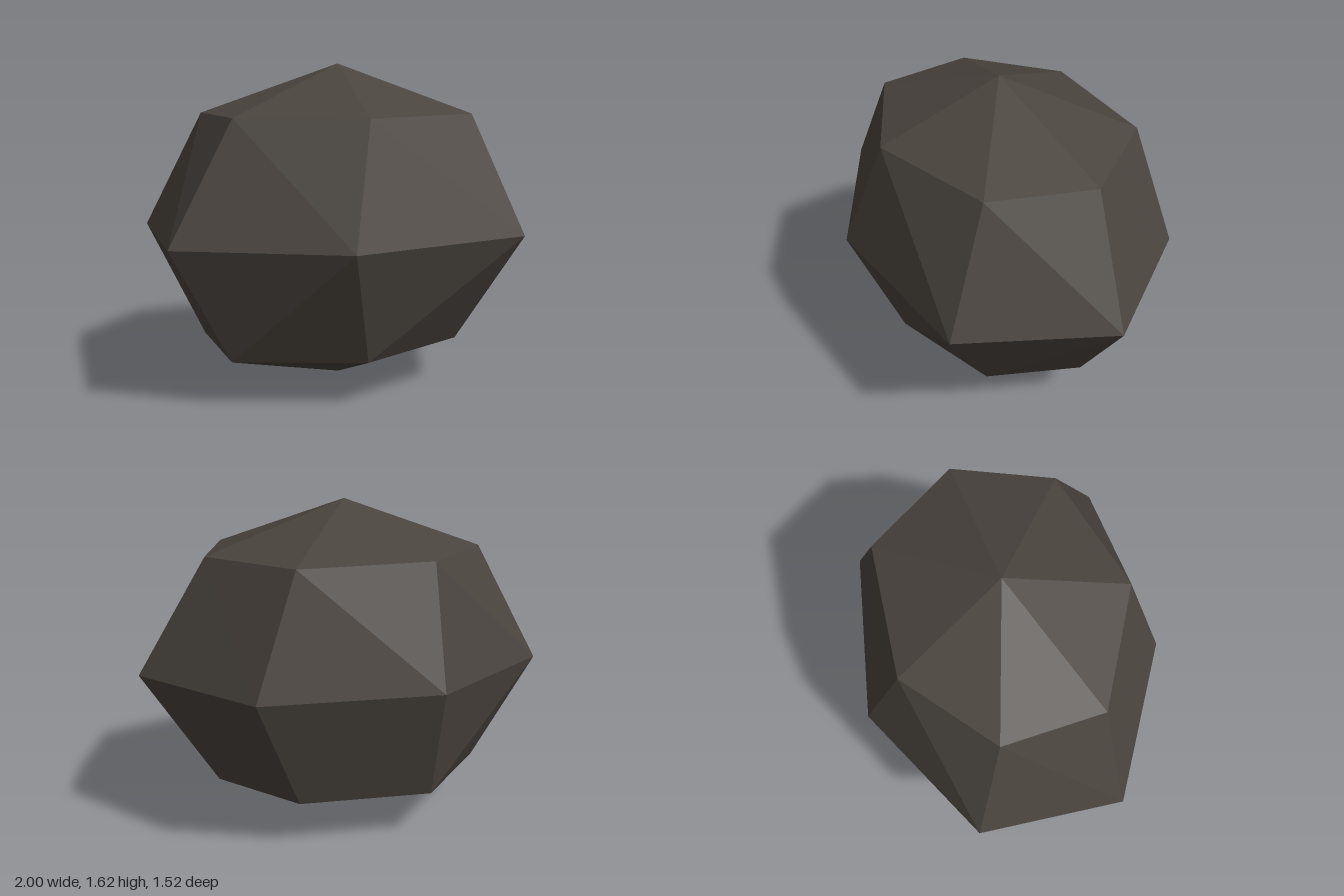
import * as THREE from 'three';

// Rings of [x, z] corners, running clockwise seen from above
const rings = {
  lower: { y: 0.24, pts: [[-0.72, -0.2], [-0.3, -0.58], [0.34, -0.48], [0.64, -0.07], [0.44, 0.37], [-0.12, 0.55], [-0.71, 0.3]] },
  middle: { y: 0.81, pts: [[-0.97, -0.36], [-0.27, -0.76], [0.58, -0.63], [1, -0.01], [0.64, 0.67], [-0.27, 0.76], [-1, 0.35]] },
  upper: { y: 1.38, pts: [[-0.71, -0.19], [-0.3, -0.55], [0.36, -0.53], [0.67, -0.08], [0.49, 0.4], [-0.13, 0.585], [-0.68, 0.3]] },
};

export function createModel() {
  const stone = new THREE.MeshStandardMaterial({ color: 0x4a443e, flatShading: true });
  stone.name = 'dark stone';

  const [low, mid, up] = Object.values(rings).map(({ y, pts }) => pts.map(([x, z]) => [x, y, z]));
  const bottom = [-0.05, 0, -0.01];
  const top = [-0.05, 1.62, -0.01];

  const positions = [];
  const tri = (a, b, c) => positions.push(...a, ...b, ...c);

  for (let i = 0; i < mid.length; i++) {
    const j = (i + 1) % mid.length;
    // Underside fan
    tri(low[i], low[j], bottom);
    // Lower band
    tri(low[j], low[i], mid[i]);
    tri(low[j], mid[i], mid[j]);
    // Upper band
    tri(mid[j], mid[i], up[j]);
    tri(mid[i], up[i], up[j]);
    // Top fan
    tri(up[j], up[i], top);
  }

  const geometry = new THREE.BufferGeometry();
  geometry.setAttribute('position', new THREE.Float32BufferAttribute(positions, 3));
  geometry.computeVertexNormals();

  const rock = new THREE.Mesh(geometry, stone);
  rock.name = 'rock';
  const group = new THREE.Group();
  group.name = 'boulder';
  group.add(rock);
  return group;
}
